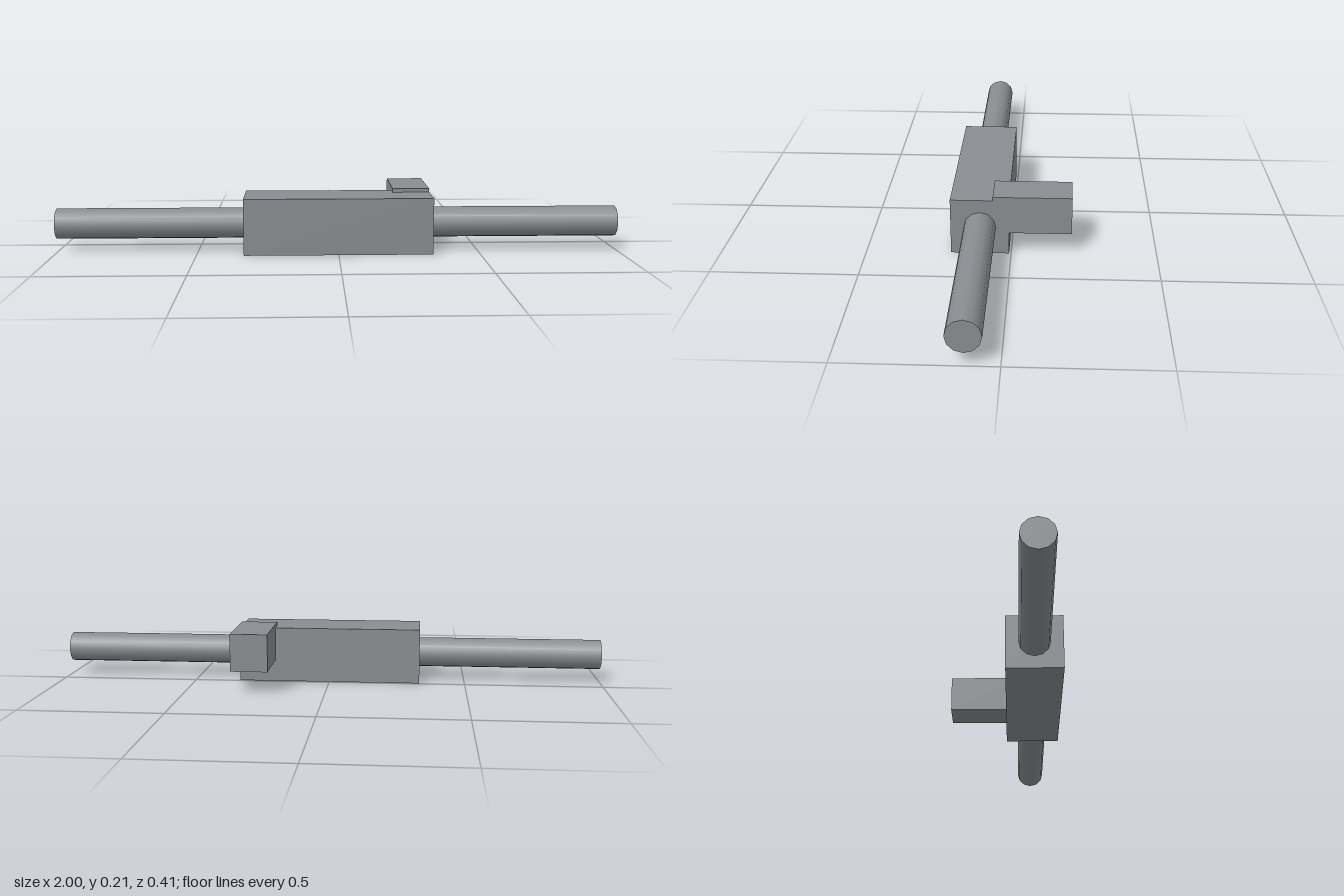
import * as THREE from 'three';

export function createModel() {
  const model = new THREE.Group();
  const grey = new THREE.MeshStandardMaterial({ color: 0x8a8d91 });
  grey.name = 'steel grey';

  const add = (name, geometry, x, y, z) => {
    const mesh = new THREE.Mesh(geometry, grey);
    mesh.name = name;
    mesh.position.set(x, y, z);
    model.add(mesh);
  };

  // Central block
  add('body', new THREE.BoxGeometry(0.667, 0.2, 0.2), 0, 0.1, 0.107);

  // Long twelve-sided rod running through the block
  const rod = new THREE.CylinderGeometry(0.055, 0.055, 2, 12).rotateZ(Math.PI / 2);
  add('rod', rod, 0, 0.1, 0.107);

  // Arm sticking out of the back, slightly proud of the block's top
  add('rearArm', new THREE.BoxGeometry(0.133, 0.134, 0.269), 0.2665, 0.146, -0.0725);

  return model;
}
